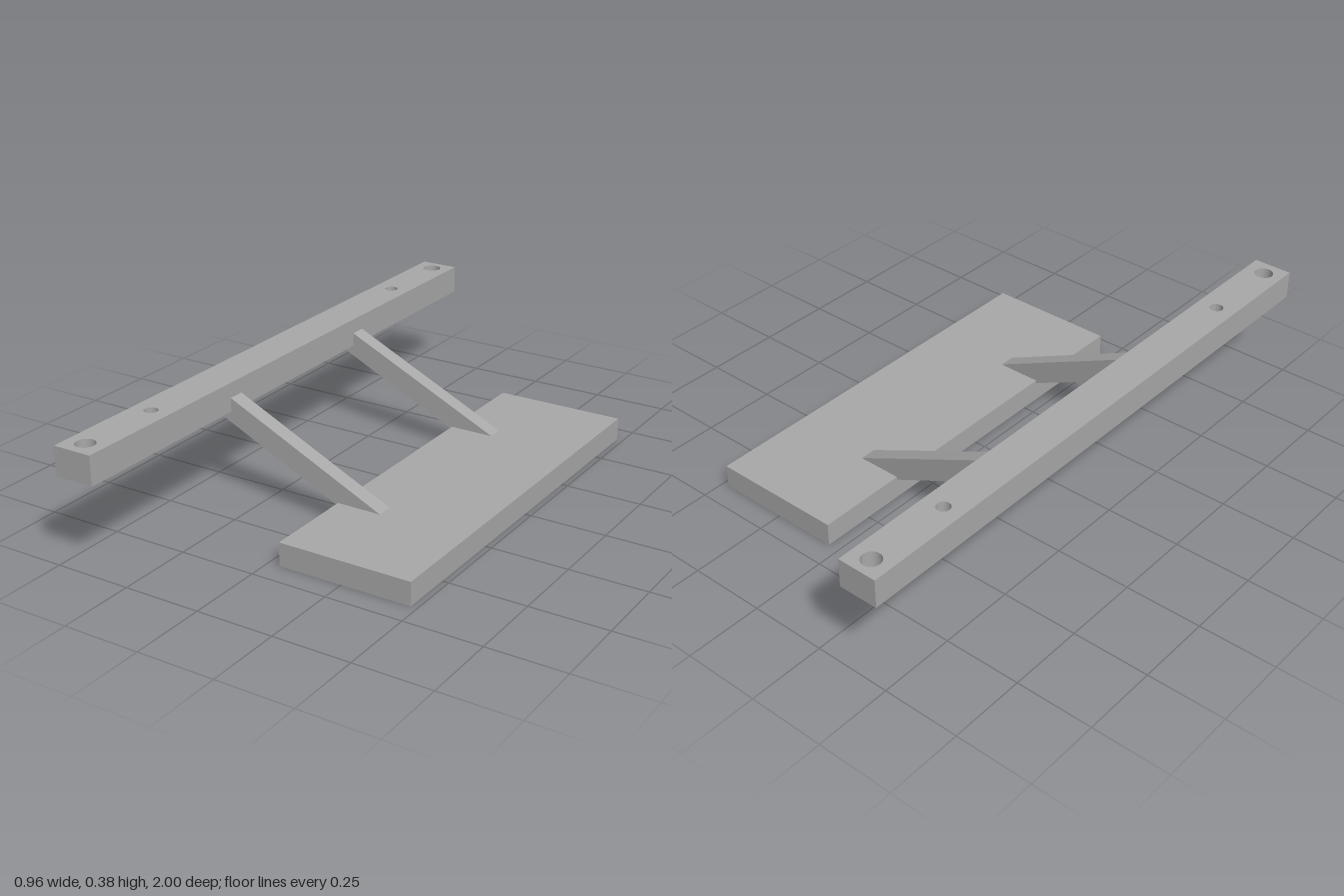
import * as THREE from 'three';

export function createModel() {
  const group = new THREE.Group();
  const grey = new THREE.MeshStandardMaterial({ color: 0xa8a8a8 });
  grey.name = 'plain grey';

  const add = (name, geometry) => {
    const mesh = new THREE.Mesh(geometry, grey);
    mesh.name = name;
    group.add(mesh);
    return mesh;
  };

  // Mounting bar, drawn in plan (shape y = -z), with four through holes
  const outline = new THREE.Shape([
    [-0.48, -1], [-0.35, -1], [-0.35, 1], [-0.48, 1],
  ].map(([x, y]) => new THREE.Vector2(x, y)));
  for (const [z, radius] of [[-0.945, 0.031], [-0.663, 0.022], [0.66, 0.022], [0.942, 0.031]]) {
    const hole = new THREE.Path();
    hole.absarc(-0.416, -z, radius, 0, Math.PI * 2, true);
    outline.holes.push(hole);
  }
  const bar = new THREE.ExtrudeGeometry(outline, { depth: 0.094, bevelEnabled: false, curveSegments: 16 });
  bar.rotateX(-Math.PI / 2);
  add('mountingBar', bar).position.y = 0.286;

  // Foot plate
  add('footPlate', new THREE.BoxGeometry(0.44, 0.076, 1.34)).position.set(0.259, 0.038, 0);

  // Two sloping struts whose ends are buried in the bar and the plate
  const profile = new THREE.Shape([
    [-0.425, 0.286], [0.1, 0.037], [0.2, 0.07], [-0.35, 0.331], [-0.4, 0.354],
  ].map(([x, y]) => new THREE.Vector2(x, y)));
  for (const [name, z] of [['frontStrut', 0.34], ['backStrut', -0.342]]) {
    const strut = new THREE.ExtrudeGeometry(profile, { depth: 0.054, bevelEnabled: false });
    add(name, strut).position.z = z - 0.027;
  }

  return group;
}
